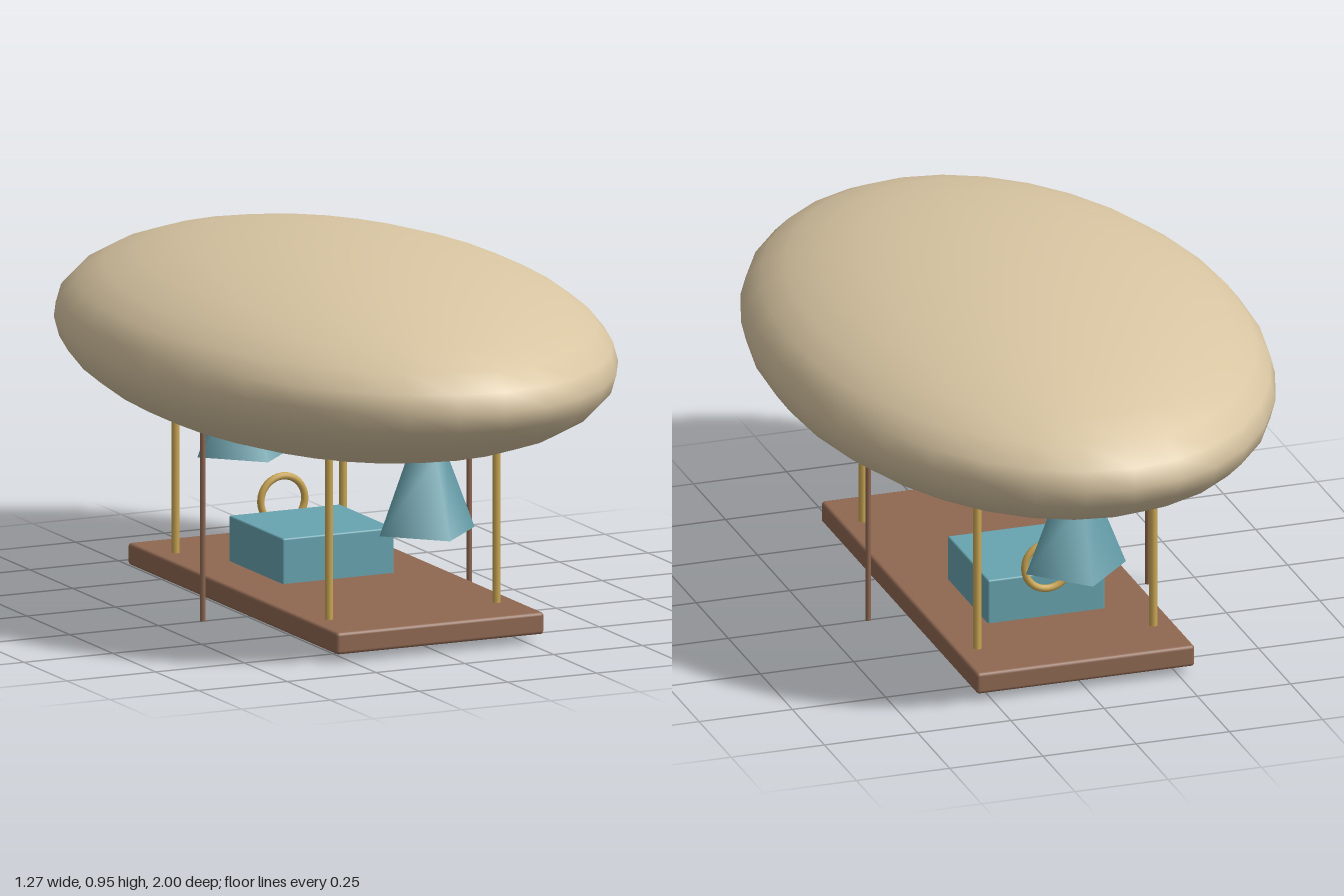
import * as THREE from 'three';
import { RoundedBoxGeometry } from 'three/addons/geometries/RoundedBoxGeometry.js';

const material = (name, color, side = THREE.FrontSide) => {
  const m = new THREE.MeshStandardMaterial({ color, side });
  m.name = name;
  return m;
};

export function createModel() {
  const group = new THREE.Group();
  const canvas = material('canvas', 0xd8c5a2);
  const wood = material('wood', 0x8f6852);
  const brass = material('brass', 0xcaa654);
  const teal = material('teal', 0x67a3af, THREE.DoubleSide);

  const add = (name, geometry, mat, x, y, z) => {
    const mesh = new THREE.Mesh(geometry, mat);
    mesh.name = name;
    mesh.position.set(x, y, z);
    group.add(mesh);
    return mesh;
  };

  // Gas envelope: a flattened ellipsoid
  const envelope = new THREE.SphereGeometry(1, 32, 16).scale(0.633, 0.255, 1);
  add('envelope', envelope, canvas, 0, 0.698, 0);

  // Deck with softened edges
  add('deck', new RoundedBoxGeometry(0.585, 0.057, 1.22, 2, 0.009), wood, 0, 0.05, 0);

  // Engine box on the deck, with a steering ring behind it
  add('engineBox', new RoundedBoxGeometry(0.314, 0.125, 0.315, 2, 0.005), teal, 0, 0.1335, -0.143);
  add('steeringRing', new THREE.TorusGeometry(0.062, 0.0095, 10, 32), brass, 0, 0.22, -0.31);

  // Four brass posts between deck and envelope
  const post = new THREE.CylinderGeometry(0.0105, 0.0105, 0.45, 10);
  for (const x of [-0.236, 0.236])
    for (const z of [-0.447, 0.447]) add('post', post, brass, x, 0.29, z);

  // Two thin mooring poles beside the deck
  const pole = new THREE.CylinderGeometry(0.0075, 0.0075, 0.51, 8);
  for (const x of [-0.375, 0.375]) add('mooringPole', pole, wood, x, 0.255, 0);

  // Four-sided thruster bells, open below, under the bow and stern
  const bell = new THREE.CylinderGeometry(0.055, 0.134, 0.2, 4, 1, true);
  for (const z of [-0.53, 0.53]) add('thrusterBell', bell, teal, 0, 0.4, z);

  return group;
}
